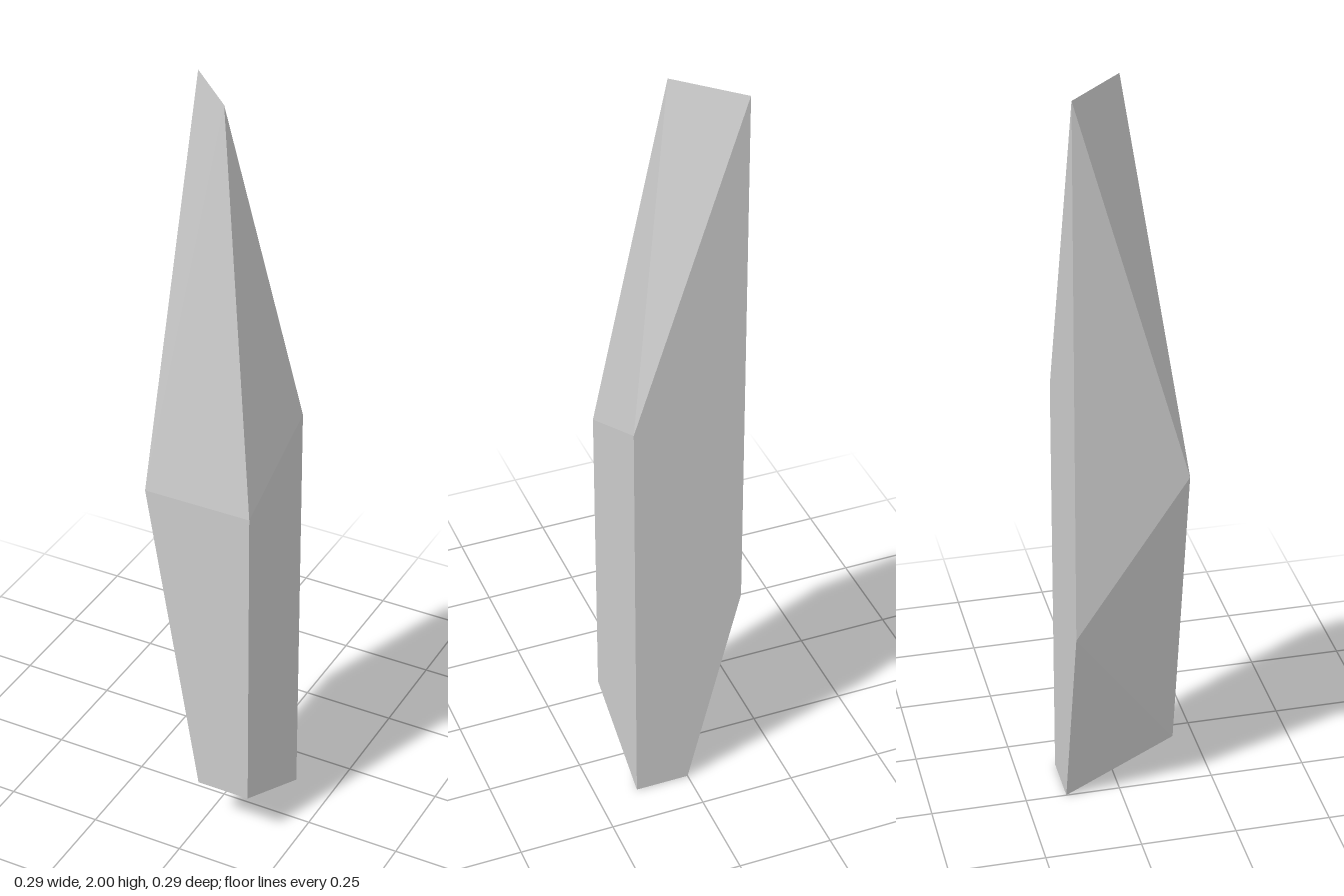
import * as THREE from 'three';
import { ConvexGeometry } from 'three/addons/geometries/ConvexGeometry.js';

export function createModel() {
  const group = new THREE.Group();
  group.name = 'crystal';
  const u = 1 / 7; // one grid step; the shard is 14 steps tall

  const corners = [
    [0, 14, 0], // apex
    // shoulders, one per vertical edge
    [-1, 14, -1], [1, 8, -1], [1, 7, 1], [-1, 7, 1],
    // chipped lower corner
    [-1, 4, -1],
    // sloping foot
    [0, 1, 1], [1, 1, 1], [1, 0, -1], [0, 0, -1],
  ].map(([x, y, z]) => new THREE.Vector3(x, y, z).multiplyScalar(u));

  const shard = new THREE.Mesh(
    new ConvexGeometry(corners),
    new THREE.MeshStandardMaterial({ color: 0xcccccc, flatShading: true }),
  );
  shard.name = 'crystalShard';
  group.add(shard);
  return group;
}
